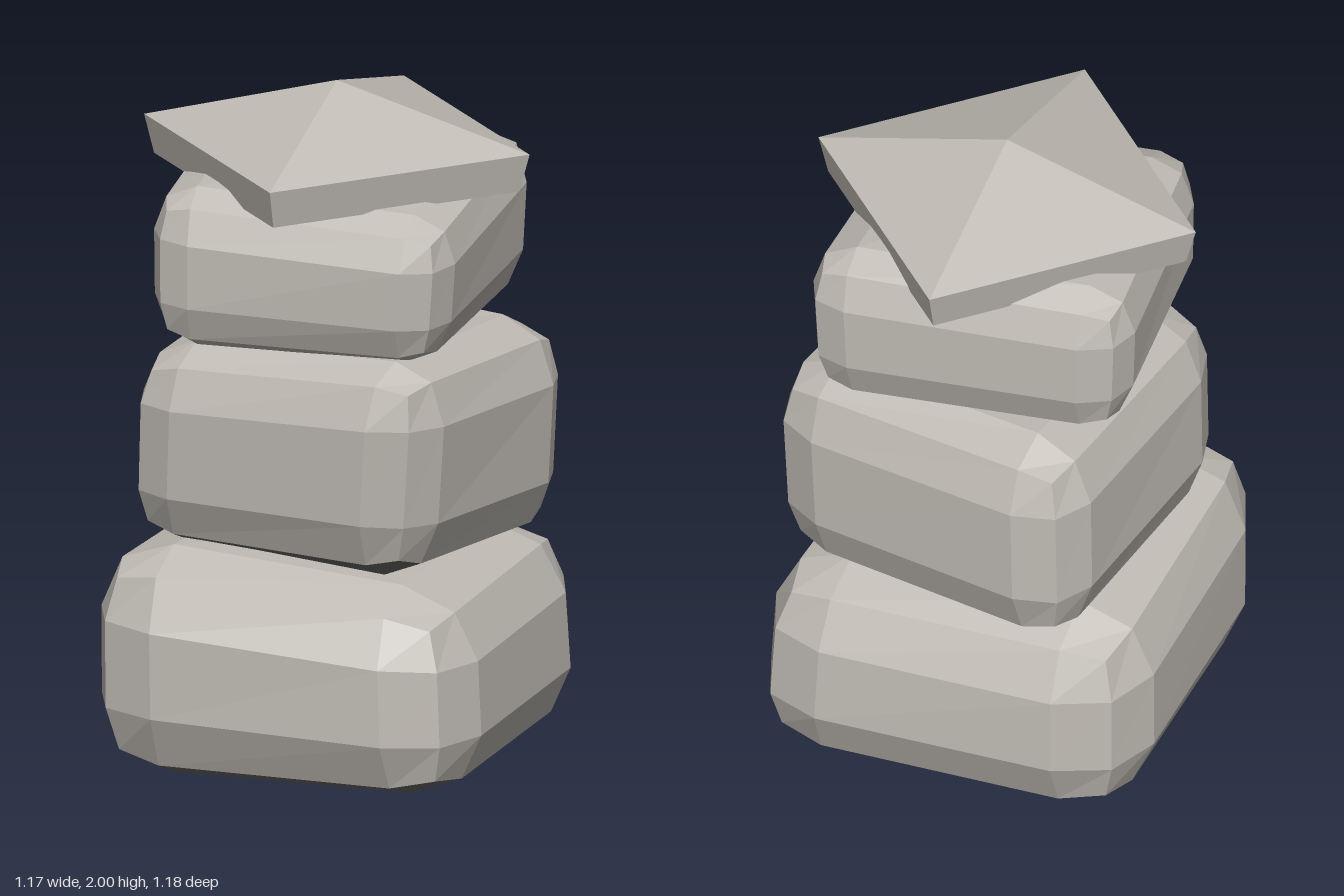
import * as THREE from 'three';
import { RoundedBoxGeometry } from 'three/addons/geometries/RoundedBoxGeometry.js';

// Chamfered box warped to eight corners, listed [x, y, z] in the order
// left-front, right-front, right-back, left-back (as seen from the front).
// Group 0 is the body, group 1 the underside with its innermost chamfer.
function stoneGeometry(bottom, top, height, radius) {
  const width = 1.05;
  const geo = new RoundedBoxGeometry(width, height, width, 1, radius);
  const pos = geo.attributes.position;

  const body = [], underside = [];
  const limit = -height / 2 + radius * 0.45;
  for (let i = 0; i < pos.count; i += 3) {
    const corners = [i, i + 1, i + 2];
    const isUnder = corners.every((c) => pos.getY(c) < limit);
    (isUnder ? underside : body).push(...corners);
  }
  geo.setIndex([...body, ...underside]);
  geo.clearGroups();
  geo.addGroup(0, body.length, 0);
  geo.addGroup(body.length, underside.length, 1);

  const mix = THREE.MathUtils.lerp;
  for (let i = 0; i < pos.count; i++) {
    const u = pos.getX(i) / width + 0.5;
    const v = pos.getY(i) / height + 0.5;
    const w = pos.getZ(i) / width + 0.5;
    const at = (ring, k) =>
      mix(mix(ring[3][k], ring[2][k], u), mix(ring[0][k], ring[1][k], u), w);
    pos.setXYZ(i, ...[0, 1, 2].map((k) => mix(at(bottom, k), at(top, k), v)));
  }
  geo.computeVertexNormals();
  return geo;
}

function material(name, color) {
  const mat = new THREE.MeshStandardMaterial({ color, flatShading: true });
  mat.name = name;
  return mat;
}

export function createModel() {
  const model = new THREE.Group();
  model.name = 'stoneLantern';
  const stone = material('warm grey stone', 0xc0bbb4);
  const shade = material('dark grey underside', 0x6a6a66);

  const add = (name, geometry, mat) => {
    const mesh = new THREE.Mesh(geometry, mat);
    mesh.name = name;
    model.add(mesh);
    return mesh;
  };

  // Three uneven stones, stacked
  add('lowerStone', stoneGeometry(
    [[-0.58, 0.01, 0.58], [0.56, 0.03, 0.59], [0.6, 0.01, -0.58], [-0.58, 0, -0.52]],
    [[-0.58, 0.73, 0.6], [0.53, 0.62, 0.57], [0.57, 0.63, -0.54], [-0.57, 0.64, -0.51]],
    0.65, 0.205), [stone, shade]);
  add('middleStone', stoneGeometry(
    [[-0.54, 0.67, 0.37], [0.37, 0.65, 0.47], [0.58, 0.6, -0.38], [-0.42, 0.63, -0.59]],
    [[-0.51, 1.26, 0.42], [0.43, 1.32, 0.53], [0.61, 1.25, -0.39], [-0.41, 1.3, -0.59]],
    0.65, 0.18), [stone, shade]);
  add('upperStone', stoneGeometry(
    [[-0.41, 1.29, 0.48], [0.43, 1.28, 0.4], [0.42, 1.28, -0.5], [-0.5, 1.29, -0.37]],
    [[-0.41, 1.77, 0.49], [0.47, 1.71, 0.43], [0.44, 1.79, -0.52], [-0.52, 1.77, -0.38]],
    0.5, 0.15), [stone, stone]);

  // Four-sided capstone with its corners on the axes
  const profile = [[0, 1.725], [0.55, 1.725], [0.58, 1.838], [0, 2]]
    .map(([r, y]) => new THREE.Vector2(r, y));
  const cap = add('capstone', new THREE.LatheGeometry(profile, 4), stone);
  cap.position.set(-0.005, 0, -0.01);

  return model;
}
